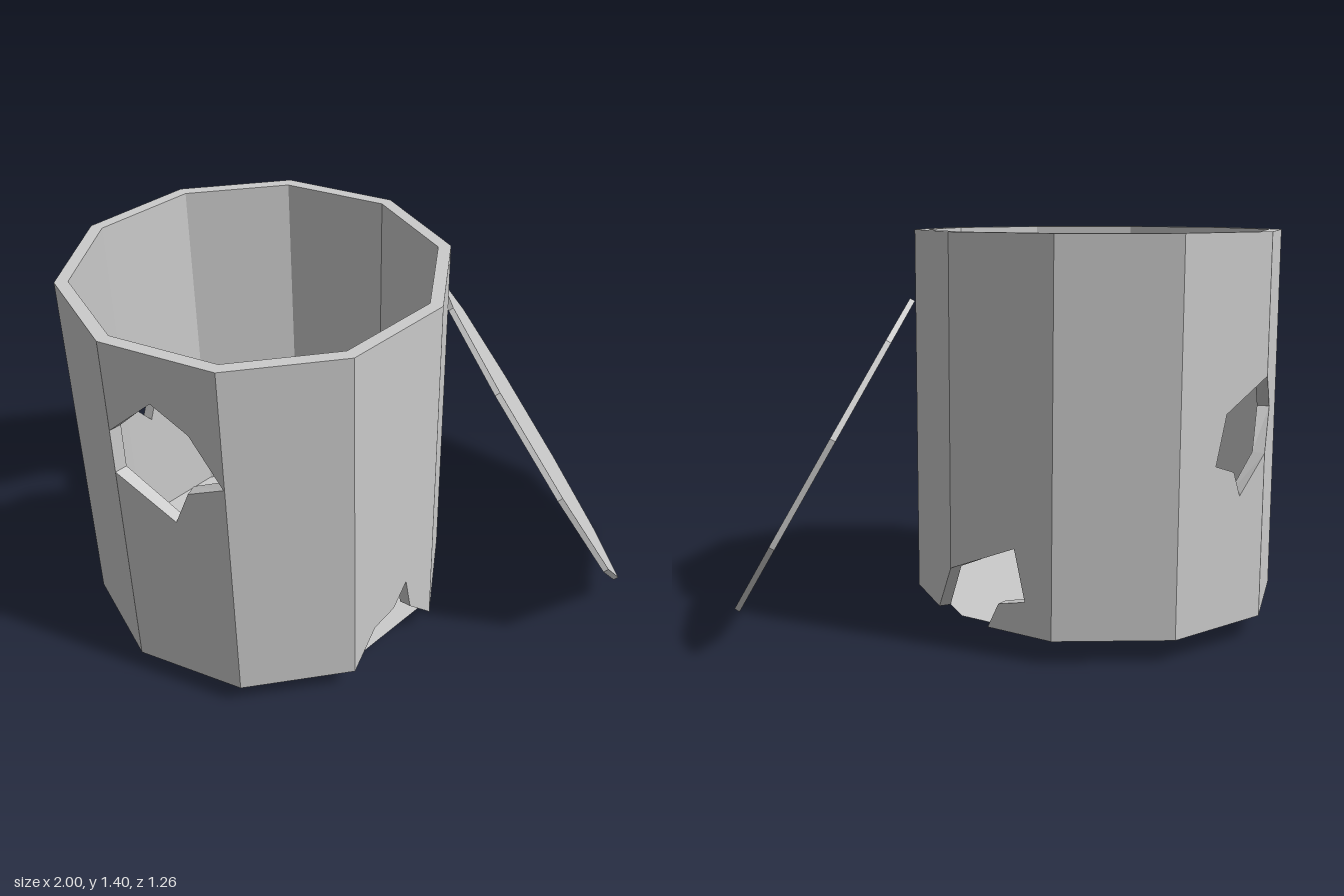
import * as THREE from 'three';

const SIDES = 10, R = 0.66, R_IN = 0.615;
const BOTTOM = 0.08, TOP = 1.4, CENTRE_X = -0.34;
const APOTHEM = R * Math.cos(Math.PI / SIDES);
const HALF = R * Math.sin(Math.PI / SIDES); // half a panel's width
const K = R_IN / R;

const BL = [-HALF, BOTTOM], BR = [HALF, BOTTOM], TR = [HALF, TOP], TL = [-HALF, TOP];

// Outlines of the broken panels, keyed by panel index (counter-clockwise from outside)
const broken = {
  // jagged notch at the foot, front
  1: [BL, [-0.1, 0.22], [0, 0.245], [0.063, 0.33], [0.09, 0.19], BR, TR, TL],
  // hole near the rim, front
  3: [BL, BR, TR, TL, [-HALF, 1.07], [-0.038, 1.22], [0.09, 1.14], [0.2, 0.965],
    [0.067, 0.905], [0.011, 0.77], [-HALF, 0.905]],
  // hole across two back panels
  5: [BL, BR, TR, TL, [-HALF, 0.92], [-0.068, 0.797], [-HALF, 0.656]],
  6: [BL, BR, [HALF, 0.656], [0.085, 0.524], [0.053, 0.61], [-0.035, 0.64], [0.01, 0.81],
    [HALF, 0.92], TR, TL],
  // notch at the foot across two back panels
  8: [[-0.05, BOTTOM], BR, TR, TL, [-HALF, 0.26], [0.057, 0.37], [0.1, 0.195], [-0.006, 0.17]],
  9: [BL, [0.064, BOTTOM], [HALF, 0.26], TR, TL],
};

// A wall panel whose inner face is narrowed so that neighbours meet in a mitre
function panelGeometry(points) {
  const shape = new THREE.Shape(points.map(([x, y]) => new THREE.Vector2(x, y)));
  const depth = APOTHEM * (1 - K);
  const geo = new THREE.ExtrudeGeometry(shape, { depth, bevelEnabled: false });
  const pos = geo.attributes.position;
  for (let i = 0; i < pos.count; i++) {
    if (pos.getZ(i) < depth / 2) pos.setX(i, pos.getX(i) * K);
  }
  geo.translate(0, 0, APOTHEM - depth);
  geo.computeVertexNormals();
  return geo;
}

export function createModel() {
  const model = new THREE.Group();
  model.name = 'brokenBarrel';
  const grey = new THREE.MeshStandardMaterial({ color: 0xcccccc, flatShading: true });
  const thin = new THREE.MeshStandardMaterial({ color: 0xcccccc, flatShading: true, side: THREE.DoubleSide });

  // Wall
  const wall = new THREE.Group();
  wall.name = 'wall';
  wall.position.x = CENTRE_X;
  for (let i = 0; i < SIDES; i++) {
    const panel = new THREE.Mesh(panelGeometry(broken[i] || [BL, BR, TR, TL]), grey);
    panel.name = 'wallPanel';
    panel.rotation.y = Math.PI / 2 - (i + 0.5) * 2 * Math.PI / SIDES;
    wall.add(panel);
  }
  model.add(wall);

  // Floor
  const floor = new THREE.Mesh(new THREE.CircleGeometry(R_IN, SIDES), thin);
  floor.name = 'floor';
  floor.rotation.x = -Math.PI / 2;
  floor.position.set(CENTRE_X, BOTTOM, 0);
  model.add(floor);

  // Lid leaning against the wall
  const lidGeo = new THREE.CylinderGeometry(R, R, 0.02, SIDES);
  lidGeo.rotateY(Math.PI / 2);
  const lid = new THREE.Mesh(lidGeo, grey);
  lid.name = 'lid';
  lid.rotation.z = -Math.PI / 3;
  lid.position.set(0.661, 0.578, 0);
  model.add(lid);

  return model;
}
